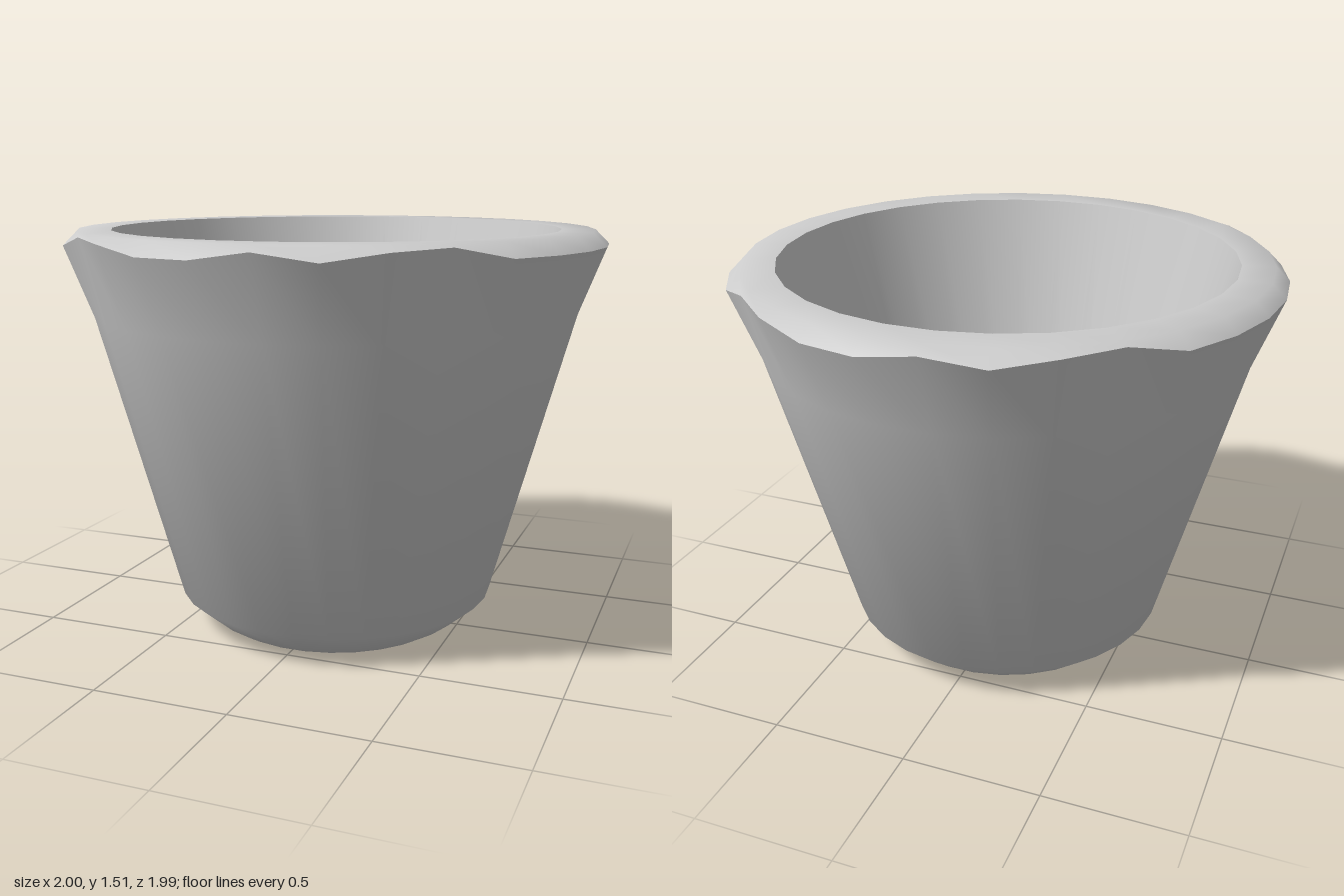
import * as THREE from 'three';
import { toCreasedNormals } from 'three/addons/utils/BufferGeometryUtils.js';

const SEGMENTS = 30;
const RIM = 5; // profile index of the worn outer rim edge

export function createModel() {
  const group = new THREE.Group();
  group.name = 'pot';

  // Closed profile: underside, outer wall, rim, inner wall, inner floor
  const profile = [
    [0, 0], [0.45, 0], [0.5, 0.03], [0.605, 0.12], [0.9, 1.2], [1, 1.46],
    [0.95, 1.51], [0.83, 1.51], [0.5, 0.3], [0, 0.3],
  ].map(([r, y]) => new THREE.Vector2(r, y));
  const lathe = new THREE.LatheGeometry(profile, SEGMENTS, Math.PI / 2);

  // Wear the rim edge: raise some points, flatten the four diagonals
  const raised = [60, 84, 120, 240, 264, 300];
  const flattened = [48, 132, 228, 312];
  const pos = lathe.attributes.position;
  for (let i = 0; i <= SEGMENTS; i++) {
    const k = i * profile.length + RIM;
    const angle = (360 - Math.round((i * 360) / SEGMENTS)) % 360;
    if (raised.includes(angle)) pos.setY(k, 1.49);
    if (flattened.includes(angle)) {
      pos.setXYZ(k, pos.getX(k) * 0.978, 1.5, pos.getZ(k) * 0.978);
    }
  }

  const pot = new THREE.Mesh(
    toCreasedNormals(lathe, THREE.MathUtils.degToRad(48)),
    new THREE.MeshStandardMaterial({ color: 0xcccccc }),
  );
  pot.name = 'potBody';
  group.add(pot);
  return group;
}
